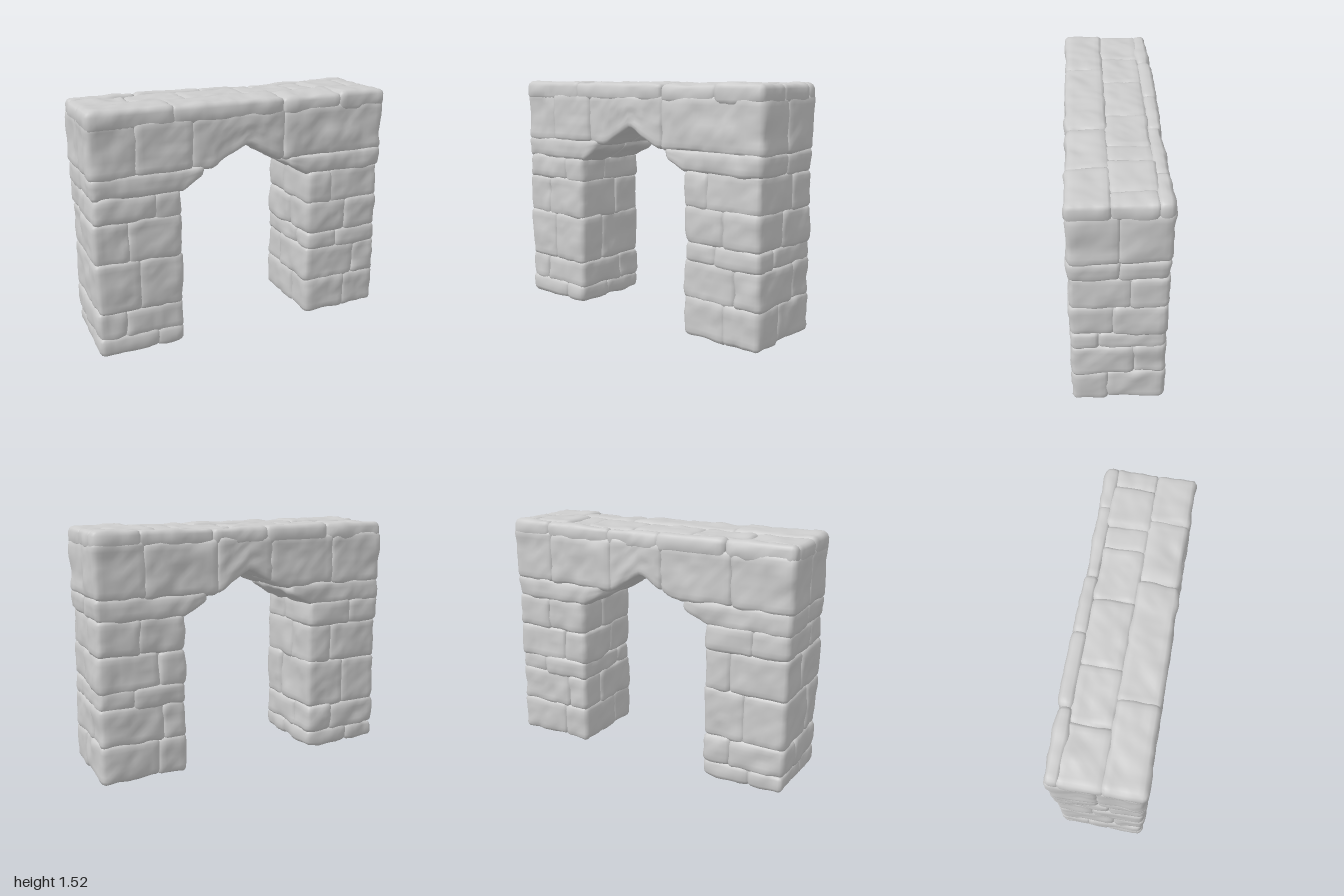
import * as THREE from 'three';
import { mergeVertices } from 'three/addons/utils/BufferGeometryUtils.js';

const stoneMat = new THREE.MeshStandardMaterial({ color: 0xcccccc });
stoneMat.name = 'pale grey stone';

// Seeded random and smooth lattice noise
let seed = 7;
const rand = () => (seed = (seed * 16807) % 2147483647) / 2147483647;
const hash = (x, y, z) => {
  const s = Math.sin(x * 127.1 + y * 311.7 + z * 74.7) * 43758.5453;
  return (s - Math.floor(s)) * 2 - 1;
};
function noise(x, y, z) {
  const X = Math.floor(x), Y = Math.floor(y), Z = Math.floor(z);
  const ease = (t) => t * t * (3 - 2 * t);
  const mix = THREE.MathUtils.lerp;
  const u = ease(x - X), v = ease(y - Y), w = ease(z - Z);
  const row = (j, k) => mix(hash(X, Y + j, Z + k), hash(X + 1, Y + j, Z + k), u);
  return mix(mix(row(0, 0), row(1, 0), v), mix(row(0, 1), row(1, 1), v), w);
}

// Underside of the pointed arch
const archY = (x) => (Math.abs(x) < 0.45 ? 1.245 - 0.58 * Math.abs(x) : 0);

const STEP = 0.028, RADIUS = 0.036, OVERLAP = 0.012;

// One worn, rounded block filling the given bounds; blocks overlap so that joints stay shallow
function makeStone(name, [x0, x1], [y0, y1], [z0, z1], underArch = false) {
  const jitter = () => OVERLAP + (rand() - 0.5) * 0.01;
  const min = new THREE.Vector3(x0 - jitter(), y0 - jitter(), z0 - jitter());
  const max = new THREE.Vector3(x1 + jitter(), y1 + jitter(), z1 + jitter());
  const size = max.clone().sub(min), mid = max.clone().add(min).multiplyScalar(0.5);
  const segs = size.toArray().map((s) => Math.max(4, Math.round(s / STEP)));
  let geo = new THREE.BoxGeometry(size.x, size.y, size.z, ...segs);
  geo.deleteAttribute('uv');
  geo.deleteAttribute('normal');
  geo = mergeVertices(geo);

  const pos = geo.attributes.position;
  const half = size.clone().multiplyScalar(0.5);
  const r = Math.min(RADIUS, half.x * 0.8, half.y * 0.8, half.z * 0.8);
  const core = half.clone().subScalar(r);
  const p = new THREE.Vector3(), inner = new THREE.Vector3(), dir = new THREE.Vector3();
  const phase = rand() * 2;
  for (let i = 0; i < pos.count; i++) {
    p.fromBufferAttribute(pos, i);
    inner.copy(p).clamp(core.clone().negate(), core);
    dir.copy(p).sub(inner).normalize();
    p.copy(inner).addScaledVector(dir, r).add(mid);
    // Weathering: broad dents plus finer chips
    const d = 0.011 * noise(p.x * 9 + phase, p.y * 9, p.z * 9)
      + 0.005 * noise(p.x * 22, p.y * 22 + phase, p.z * 22);
    // Squeeze the block upwards so that its underside follows the arch
    if (underArch) {
      const low = Math.max(min.y, archY(p.x) - 0.01);
      p.y = max.y - (max.y - p.y) * (max.y - low) / size.y;
    }
    p.addScaledVector(dir, d);
    pos.setXYZ(i, p.x, p.y, p.z);
  }
  geo.computeVertexNormals();
  const mesh = new THREE.Mesh(geo, stoneMat);
  mesh.name = name;
  return mesh;
}

const Z = 0.265, OUT = 0.962, IN = 0.445;

// Each pillar course: bottom, top, depth of its side joint, front joint x, back joint x
const leftCourses = [
  [0.025, 0.25, 0.07, 0.74, 0.62],
  [0.25, 0.47, -0.09, 0.8, 0.58],
  [0.47, 0.58, 0.12, 0.66, 0.76],
  [0.58, 0.79, 0.03, 0.72, 0.6],
  [0.79, 1.0, -0.06, 0.6, 0.72],
];
const rightCourses = [
  [0.025, 0.12, 0.04, -0.6, -0.75],
  [0.12, 0.29, -0.08, -0.8, -0.62],
  [0.29, 0.6, 0.09, -0.71, -0.7],
  [0.6, 0.85, -0.04, -0.77, -0.6],
  [0.85, 1.0, 0.06, -0.6, -0.74],
];

function makePillar(name, side, courses) {
  const pillar = new THREE.Group();
  pillar.name = name;
  const [xMin, xMax] = side > 0 ? [IN, OUT] : [-OUT, -IN];
  for (const [y0, y1, zs, xf, xb] of courses) {
    for (const [xs, zr] of [[xf, [zs, Z]], [xb, [-Z, zs]]]) {
      pillar.add(makeStone('pillarStone', [xMin, xs], [y0, y1], zr));
      pillar.add(makeStone('pillarStone', [xs, xMax], [y0, y1], zr));
    }
  }
  return pillar;
}

// Beam stones between the pillars and the top slabs
function makeLintel() {
  const lintel = new THREE.Group();
  lintel.name = 'archLintel';
  const add = (x, y, z) => lintel.add(makeStone('lintelStone', x, y, z, true));
  const front = [0, Z], back = [-Z, 0];
  // Springer course resting on the pillars
  for (const z of [front, back]) {
    add([-OUT, -0.3], [0.995, 1.12], z);
    add([0.3, OUT], [0.995, 1.12], z);
  }
  // Large blocks, their joints staggered between front and back
  for (const [z, joints] of [
    [front, [-OUT, -0.7, -0.36, 0.25, OUT]],
    [back, [-OUT, -0.6, -0.14, 0.22, 0.68, OUT]],
  ]) {
    for (let i = 1; i < joints.length; i++) add([joints[i - 1], joints[i]], [1.12, 1.43], z);
  }
  return lintel;
}

// Three rows of thin slabs along the top
function makeCapping() {
  const capping = new THREE.Group();
  capping.name = 'topSlabs';
  const rows = [
    [[-Z, -0.2], [-OUT, -0.55, -0.12, 0.24, 0.7, OUT]],
    [[-0.2, 0.045], [-OUT, -0.63, -0.3, 0.1, 0.43, 0.58, 0.85, OUT]],
    [[0.045, Z], [-OUT, -0.47, 0.25, 0.65, OUT]],
  ];
  for (const [z, joints] of rows) {
    for (let i = 1; i < joints.length; i++) {
      capping.add(makeStone('topSlab', [joints[i - 1], joints[i]], [1.4, 1.49], z));
    }
  }
  return capping;
}

// Solid filling just behind the stone faces
function makeFilling() {
  const outline = [[-0.94, 0.05], [-0.48, 0.05], [-0.48, 1.0], [0, 1.275], [0.48, 1.0],
    [0.48, 0.05], [0.94, 0.05], [0.94, 1.465], [-0.94, 1.465]];
  const shape = new THREE.Shape(outline.map(([x, y]) => new THREE.Vector2(x, y)));
  const geo = new THREE.ExtrudeGeometry(shape, { depth: 0.49, bevelEnabled: false });
  const mesh = new THREE.Mesh(geo.translate(0, 0, -0.245), stoneMat);
  mesh.name = 'filling';
  return mesh;
}

export function createModel() {
  seed = 7;
  const model = new THREE.Group();
  model.name = 'stoneArch';
  model.add(
    makeFilling(),
    makePillar('leftPillar', 1, leftCourses),
    makePillar('rightPillar', -1, rightCourses),
    makeLintel(),
    makeCapping(),
  );
  return model;
}
